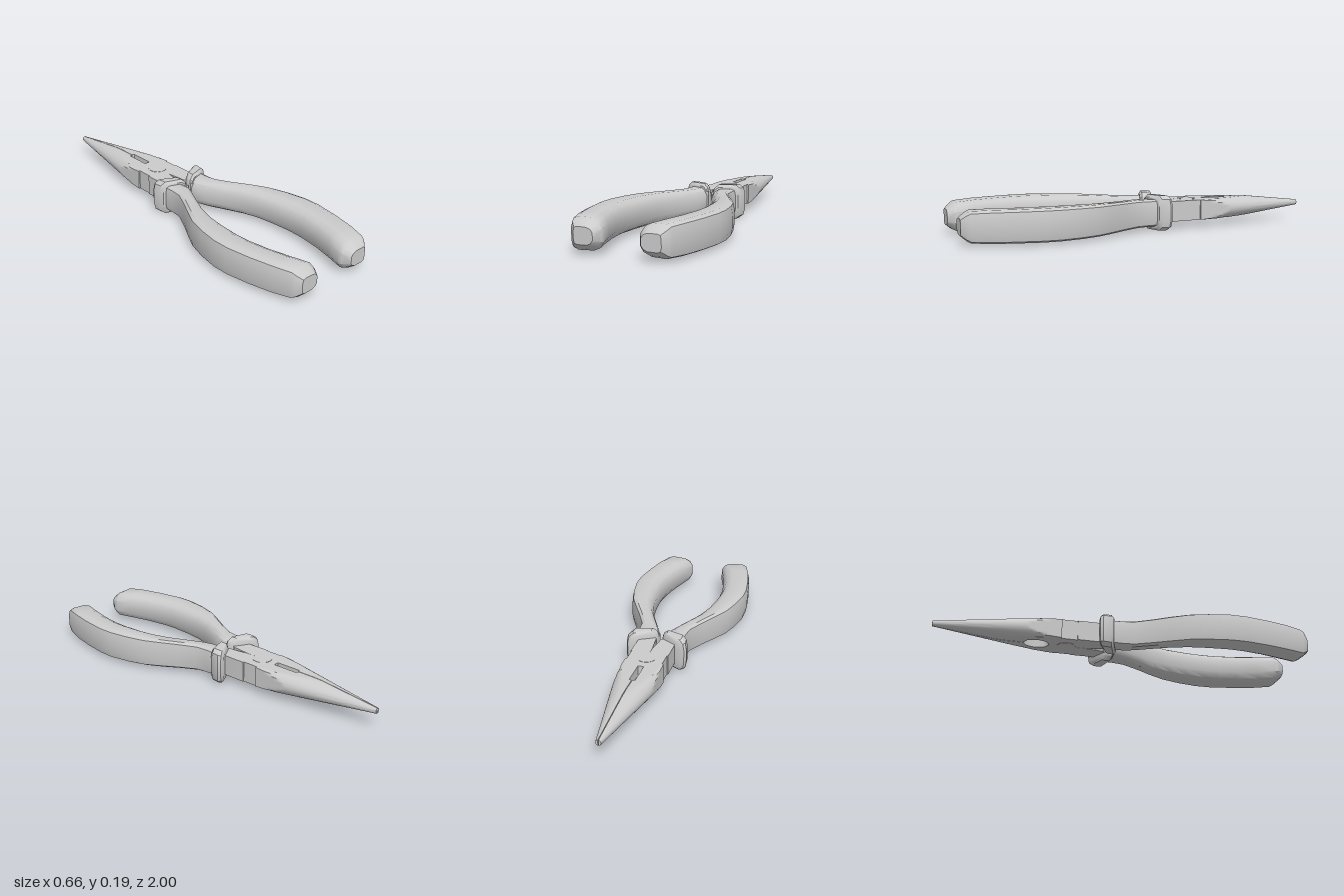
import * as THREE from 'three';
import { toCreasedNormals } from 'three/addons/utils/BufferGeometryUtils.js';

const MID = 0.095; // height of the tool's middle plane
const material = new THREE.MeshStandardMaterial({ color: 0xcccccc, side: THREE.DoubleSide });

// Skins a row of equal-length closed rings, caps both ends and turns faces outward.
function loft(rings, crease) {
  const n = rings[0].length, pos = [];
  const tri = (a, b, c) => pos.push(...a, ...b, ...c);
  for (let i = 0; i < rings.length - 1; i++)
    for (let j = 0; j < n; j++) {
      const k = (j + 1) % n, A = rings[i], B = rings[i + 1];
      tri(A[j], A[k], B[j]);
      tri(A[k], B[k], B[j]);
    }
  const first = rings[0], last = rings[rings.length - 1];
  for (let j = 1; j < n - 1; j++) {
    tri(first[0], first[j + 1], first[j]);
    tri(last[0], last[j], last[j + 1]);
  }
  // Signed volume tells whether the skin is inside out
  let volume = 0;
  const [a, b, c] = [0, 0, 0].map(() => new THREE.Vector3());
  for (let i = 0; i < pos.length; i += 9) {
    a.fromArray(pos, i); b.fromArray(pos, i + 3); c.fromArray(pos, i + 6);
    volume += a.dot(b.clone().cross(c));
  }
  if (volume < 0)
    for (let i = 0; i < pos.length; i += 9)
      for (let k = 0; k < 3; k++) [pos[i + 3 + k], pos[i + 6 + k]] = [pos[i + 6 + k], pos[i + 3 + k]];
  const geo = new THREE.BufferGeometry();
  geo.setAttribute('position', new THREE.Float32BufferAttribute(pos, 3));
  return toCreasedNormals(geo, crease);
}

// Ring spanning an inner and an outer point; profile rows are [across, height], mirrored below
function gripRing(s, [xi, zi, xo, zo, h], profile) {
  const full = [...profile, ...profile.slice().reverse().map(([u, v]) => [u, -v])];
  return full.map(([u, v]) => [s * (xi + (xo - xi) * u), MID + v * h, zi + (zo - zi) * u]);
}

const gripProfile = [[0, 0.42], [0.12, 0.8], [0.32, 0.98], [0.8, 1], [0.95, 0.87], [1, 0.45]];
const collarProfile = [[0, 0.4], [0.06, 0.78], [0.22, 1], [0.8, 1], [0.95, 0.8], [1, 0.4]];

// [inner x, inner z, outer x, outer z, half height]
const gripStations = [
  [0.015, -0.04, 0.135, -0.085, 0.072],
  [0.022, 0.01, 0.134, -0.02, 0.073],
  [0.045, 0.06, 0.14, 0.045, 0.074],
  [0.085, 0.14, 0.187, 0.14, 0.076],
  [0.128, 0.23, 0.238, 0.23, 0.079],
  [0.157, 0.33, 0.281, 0.31, 0.081],
  [0.171, 0.43, 0.311, 0.41, 0.083],
  [0.178, 0.54, 0.331, 0.52, 0.084],
  [0.174, 0.63, 0.331, 0.61, 0.084],
  [0.156, 0.74, 0.312, 0.74, 0.083],
  [0.127, 0.85, 0.286, 0.86, 0.082],
  [0.097, 0.94, 0.256, 0.955, 0.078],
  [0.1, 0.965, 0.248, 0.975, 0.066],
  [0.122, 1.0, 0.222, 1.0, 0.042],
];
const collarStations = [
  [0.022, -0.08, 0.132, -0.143, 0.078],
  [0.014, -0.07, 0.155, -0.142, 0.09],
  [0.01, -0.055, 0.165, -0.128, 0.094],
  [0.01, -0.035, 0.16, -0.085, 0.094],
  [0.016, -0.025, 0.148, -0.068, 0.08],
];

// Half of the head: a cone trimmed by a flat bar, with a relieved inner face
function headRing(s, z, width, gapTop, gapBottom, square) {
  const t = (z + 1) / 0.47;
  const rx = square ? 2 : 0.014 + 0.088 * t;
  const ry = square ? 2 : 0.015 + 0.054 * t;
  const ring = [], steps = 20, H = 0.055;
  for (let i = 0; i <= steps; i++) {
    const a = -Math.PI / 2 + (Math.PI * i) / steps;
    const x = Math.max(Math.min(rx * Math.cos(a), width), Math.max(gapTop, gapBottom) * (a < 0 ? gapBottom > gapTop ? 1 : gapBottom / (gapTop || 1) : gapTop / (Math.max(gapTop, gapBottom) || 1)));
    const y = THREE.MathUtils.clamp(ry * Math.sin(a), -H, H);
    ring.push([s * x, MID + y, z]);
  }
  ring.push([s * gapTop, MID, z], [s * gapBottom, MID, z]);
  return ring;
}

function headHalf(s) {
  const rings = [], seam = 0.0015;
  const add = (z, w, gt, gb, sq = false) => rings.push(headRing(s, z, w, gt, gb, sq));
  // Tapered nose
  for (let i = 0; i <= 10; i++) add(-1 + 0.047 * i, 0.102, seam, seam);
  // Narrow slot above, oval opening below
  for (let i = 0; i <= 10; i++) {
    const u = -1 + i / 5;
    add(-0.455 + 0.068 * u, 0.103, 0.015, Math.max(seam, 0.045 * Math.sqrt(1 - u * u)));
  }
  add(-0.387, 0.103, 0, 0);
  add(-0.335, 0.103, 0, 0);
  // Side notch around the pivot
  add(-0.335, 0.095, 0, 0, true);
  add(-0.25, 0.095, 0, 0, true);
  add(-0.25, 0.101, 0, 0, true);
  // Slit and round relief between the two shanks
  add(-0.19, 0.101, 0.001, 0.001, true);
  add(-0.12, 0.1, 0.01, 0.01, true);
  add(-0.09, 0.1, 0.013, 0.013, true);
  for (let i = 1; i <= 7; i++) {
    const a = (Math.PI * i) / 8;
    const g = Math.max(0.01, 0.027 * Math.sin(a));
    add(-0.062 - 0.027 * Math.cos(a), 0.1, g, g, true);
  }
  add(-0.025, 0.09, 0.008, 0.008, true);
  return loft(rings, 0.5);
}

export function createModel() {
  const group = new THREE.Group();
  const add = (name, geo) => {
    const mesh = new THREE.Mesh(geo, material);
    mesh.name = name;
    group.add(mesh);
    return mesh;
  };

  for (const [side, s] of [['left', 1], ['right', -1]]) {
    add(side + 'Jaw', headHalf(s));
    add(side + 'Grip', loft(gripStations.map(p => gripRing(s, p, gripProfile)), 0.6));
    add(side + 'Collar', loft(collarStations.map(p => gripRing(s, p, collarProfile)), 0.6));
  }

  // Pivot pin, almost flush with both faces
  add('pivotPin', new THREE.CylinderGeometry(0.05, 0.05, 0.113, 32)).position.set(0, MID, -0.295);

  return group;
}
